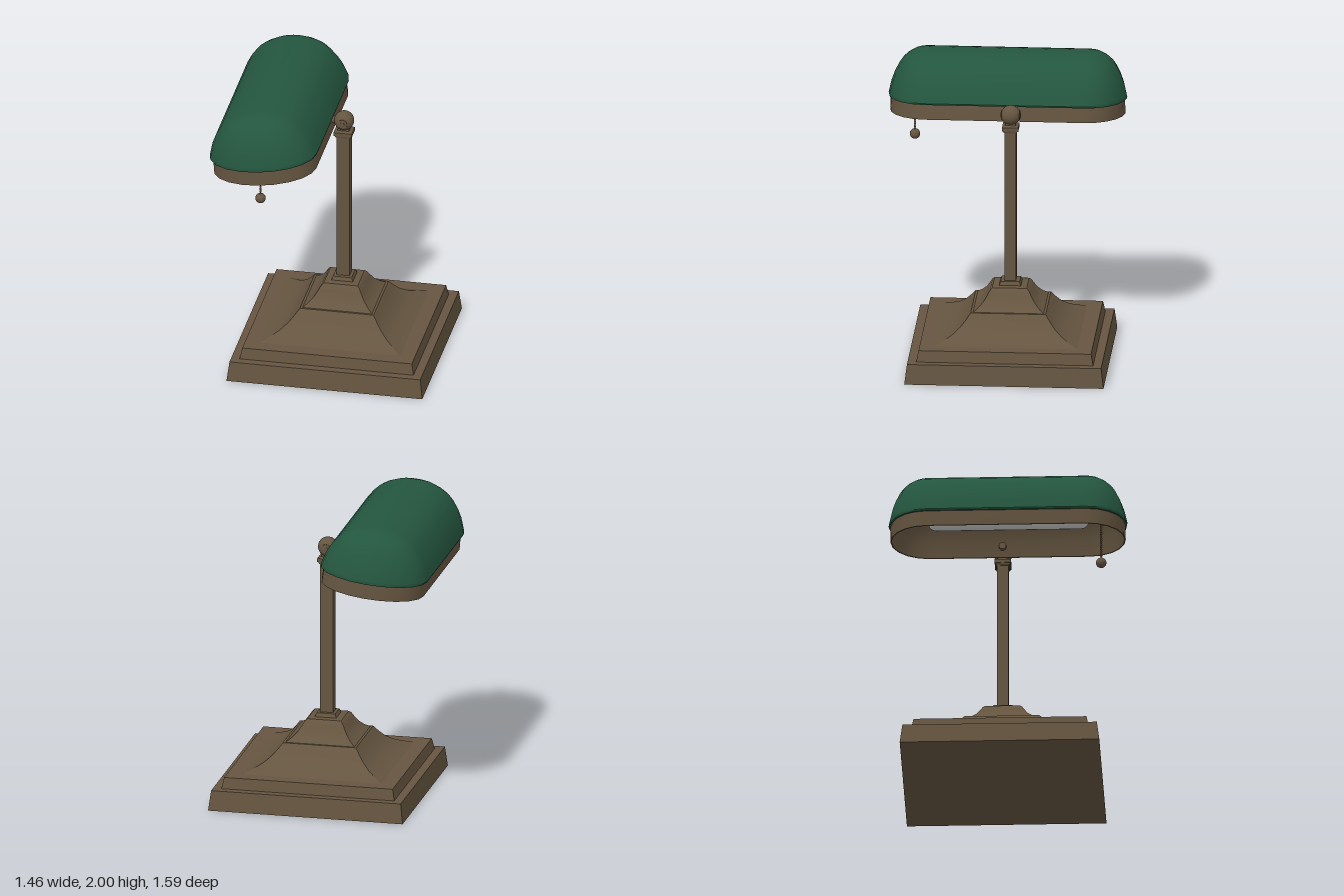
import * as THREE from 'three';
import { toCreasedNormals } from 'three/addons/utils/BufferGeometryUtils.js';

const bronze = new THREE.MeshStandardMaterial({ color: 0x655540 });
const green = new THREE.MeshStandardMaterial({ color: 0x24563f });
const grey = new THREE.MeshStandardMaterial({ color: 0xcccccc });

const POST_X = 0.064, POST_Z = -0.048;

function add(parent, name, geometry, material, x = 0, y = 0, z = 0) {
  const mesh = new THREE.Mesh(geometry, material);
  mesh.name = name;
  mesh.position.set(x, y, z);
  parent.add(mesh);
  return mesh;
}

// Square moulding from a profile of [half width, height]
function squareMoulding(profile) {
  const points = profile.map(([w, y]) => new THREE.Vector2(w * Math.SQRT2, y));
  const geo = new THREE.LatheGeometry(points, 4).rotateY(Math.PI / 4);
  return toCreasedNormals(geo, 0.45);
}

// Long round-ended shell from a profile of [width factor, height]
function capsuleShell(profile, crease) {
  const halfX = 0.365, straight = 0.53, endZ = 0.265, segs = 10;
  const positions = [], index = [];
  const n = 2 * (segs + 1);
  for (const [f, y] of profile) {
    for (const side of [1, -1]) {
      for (let i = 0; i <= segs; i++) {
        const a = (Math.PI * i) / segs;
        positions.push(side * f * halfX * Math.cos(a), y, side * (straight + f * endZ * Math.sin(a)));
      }
    }
  }
  for (let r = 0; r < profile.length - 1; r++) {
    for (let i = 0; i < n; i++) {
      const p = r * n + i, p1 = r * n + ((i + 1) % n);
      index.push(p, p + n, p1, p + n, p1 + n, p1);
    }
  }
  const geo = new THREE.BufferGeometry();
  geo.setAttribute('position', new THREE.Float32BufferAttribute(positions, 3));
  geo.setIndex(index);
  return toCreasedNormals(geo, crease);
}

export function createModel() {
  const lamp = new THREE.Group();
  lamp.name = 'deskLamp';

  // Stepped base with two curved tiers
  const stand = new THREE.Group();
  stand.name = 'stand';
  stand.position.set(POST_X, 0, POST_Z);
  lamp.add(stand);
  add(stand, 'basePlinth', squareMoulding([
    [0, 0], [0.664, 0], [0.647, 0.135], [0.59, 0.135], [0.575, 0.21], [0, 0.21],
  ]), bronze);
  add(stand, 'baseFlare', squareMoulding([
    [0.475, 0.21], [0.41, 0.235], [0.36, 0.26], [0.315, 0.295], [0.28, 0.335], [0.25, 0.375], [0, 0.375],
  ]), bronze);
  add(stand, 'baseCap', squareMoulding([
    [0.235, 0.375], [0.2, 0.4], [0.17, 0.43], [0.145, 0.47], [0.13, 0.497], [0.115, 0.511], [0.095, 0.515], [0, 0.515],
  ]), bronze);
  add(stand, 'postFoot', squareMoulding([[0.073, 0.515], [0.063, 0.54], [0, 0.54]]), bronze);

  // Post with a small capital
  add(stand, 'post', new THREE.BoxGeometry(0.088, 1.06, 0.075), bronze, 0, 1.06, 0);
  const capital = add(stand, 'postCapital', squareMoulding([
    [0, 1.572], [0.05, 1.572], [0.055, 1.588], [0.062, 1.588], [0.062, 1.613], [0.04, 1.622], [0.03, 1.65], [0, 1.65],
  ]), bronze);
  capital.scale.z = 0.88;

  // Swivel ball, its pivot discs and the arm into the shade
  add(stand, 'swivelBall', new THREE.SphereGeometry(0.067, 20, 14).rotateX(Math.PI / 2), bronze, 0, 1.685, 0);
  [[0.032, 0.126], [0.014, 0.136]].forEach(([r, length]) => {
    add(stand, 'pivotDisc', new THREE.CylinderGeometry(r, r, length, 16).rotateX(Math.PI / 2), bronze, 0, 1.685, 0);
  });
  add(stand, 'shadeArm', new THREE.CylinderGeometry(0.025, 0.025, 0.1, 12).rotateZ(Math.PI / 2), bronze, -0.07, 1.685, 0);

  // Tilted head: glass shade, metal lining and rim, two tubes
  const head = new THREE.Group();
  head.name = 'head';
  head.position.set(-0.365, 1.685, 0);
  head.rotation.z = 0.108;
  lamp.add(head);
  add(head, 'shade', capsuleShell([
    [0.93, -0.006], [0.99, -0.006], [1, 0.004], [0.985, 0.022], [0.965, 0.045], [0.925, 0.09],
    [0.85, 0.145], [0.74, 0.205], [0.65, 0.24], [0.53, 0.27], [0.36, 0.298], [0.17, 0.311], [0, 0.315],
  ], 0.6), green);
  add(head, 'liningAndRim', capsuleShell([
    [0, 0.285], [0.3, 0.272], [0.5, 0.24], [0.7, 0.175], [0.82, 0.1], [0.9, 0],
    [0.925, -0.108], [0.955, -0.108], [0.945, 0.01],
  ], 0.6), bronze);
  for (const side of [-1, 1]) {
    add(head, 'lightTube', new THREE.CapsuleGeometry(0.055, 0.96, 6, 16).rotateX(Math.PI / 2), grey, side * 0.1, 0.06, 0);
  }

  // Beaded pull chain
  const chain = new THREE.Group();
  chain.name = 'pullChain';
  chain.position.set(-0.368, 0, 0.62);
  lamp.add(chain);
  const bead = new THREE.SphereGeometry(0.008, 8, 6);
  for (let y = 1.435; y < 1.86; y += 0.016) add(chain, 'chainBead', bead, bronze, 0, y, 0);
  add(chain, 'pullKnob', new THREE.SphereGeometry(0.035, 16, 12), bronze, 0, 1.4, 0);

  return lamp;
}
